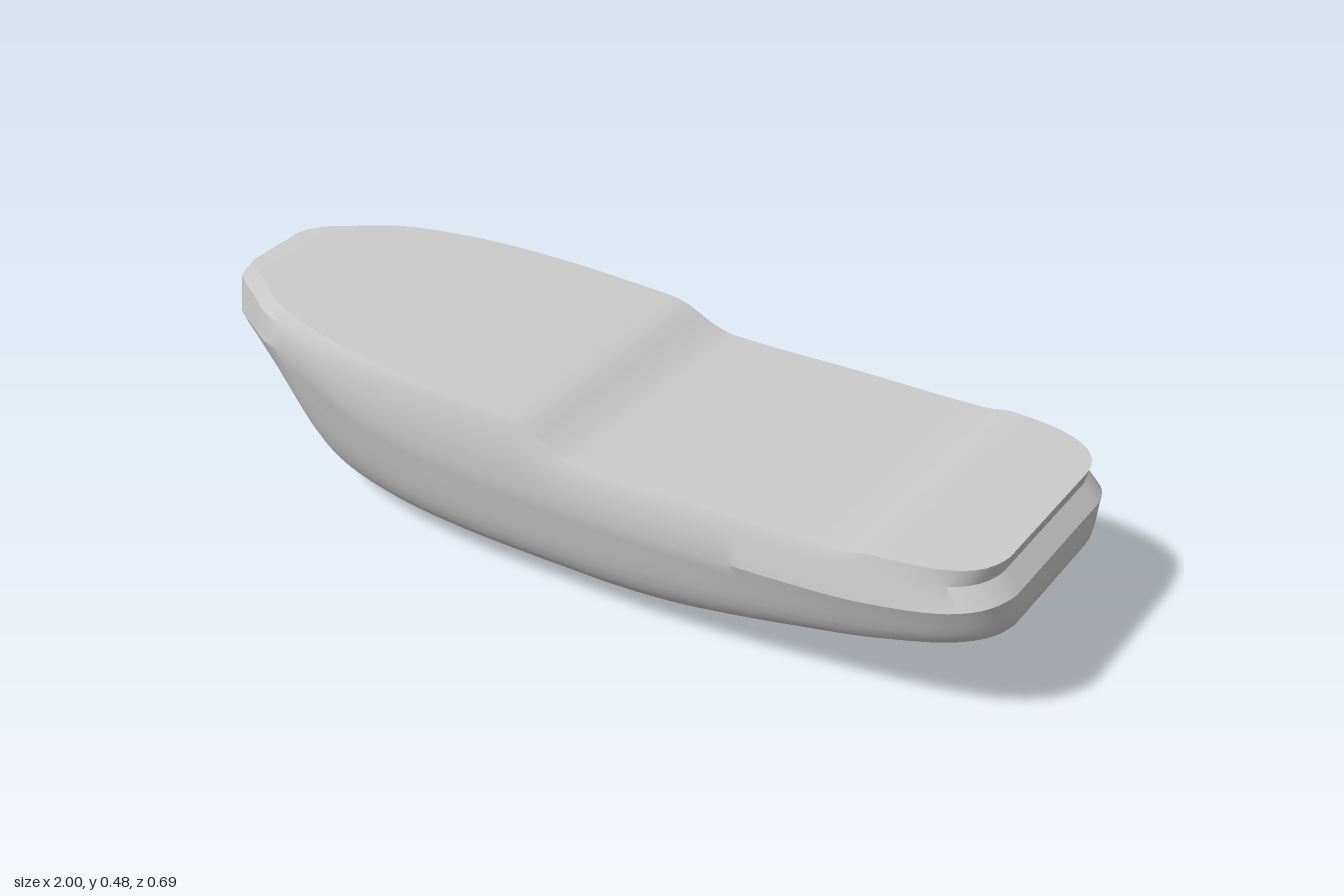
import * as THREE from 'three';
import { mergeVertices, toCreasedNormals } from 'three/addons/utils/BufferGeometryUtils.js';

// Smooth height along x through a few [x, y] pairs
function heightAt(pts, x) {
  const n = pts.length - 1;
  if (x <= pts[0][0]) return pts[0][1];
  if (x >= pts[n][0]) return pts[n][1];
  let i = 0;
  while (x > pts[i + 1][0]) i++;
  const slope = (k) => {
    const a = pts[Math.max(0, k - 1)], b = pts[Math.min(n, k + 1)];
    return (b[1] - a[1]) / (b[0] - a[0]);
  };
  const h = pts[i + 1][0] - pts[i][0], t = (x - pts[i][0]) / h, t2 = t * t, t3 = t2 * t;
  return pts[i][1] * (2 * t3 - 3 * t2 + 1) + slope(i) * h * (t3 - 2 * t2 + t)
    + pts[i + 1][1] * (3 * t2 - 2 * t3) + slope(i + 1) * h * (t3 - t2);
}

// Half plan outline from bow to stern, sampled evenly: x = length fraction, y = width fraction
function halfPlan(pairs, count) {
  const curve = new THREE.CatmullRomCurve3(pairs.map(([t, f]) => new THREE.Vector3(t * 2, f * 0.345, 0)));
  return curve.getSpacedPoints(count).map((p) => [
    THREE.MathUtils.clamp(p.x / 2, 0, 1), THREE.MathUtils.clamp(p.y / 0.345, 0, 1)]);
}

// Skin stacked outlines from bottom to top; the first `smooth` outlines are rounded into each other
function loft(name, plan, rings, smooth) {
  const columns = plan.map(([t, f]) => {
    const pts = rings.map((r) => {
      const x = r.x0 + (r.x1 - r.x0) * t;
      return new THREE.Vector3(x, heightAt(r.y, x), r.w * (t < 0.5 ? Math.pow(f, r.bow) : f));
    });
    if (smooth < 2) return pts;
    const curved = new THREE.CatmullRomCurve3(pts.slice(0, smooth)).getPoints((smooth - 1) * 5);
    return [...curved, ...pts.slice(smooth)];
  });
  const mirror = (p) => new THREE.Vector3(p.x, p.y, -p.z);
  const pos = [];
  const tri = (a, b, c) => [a, b, c].forEach((p) => pos.push(p.x, p.y, p.z));
  const quad = (a, b, c, d) => { tri(a, b, c); tri(a, c, d); };
  const top = columns[0].length - 1;
  for (let i = 0; i < columns.length - 1; i++) {
    const A = columns[i], B = columns[i + 1];
    for (let j = 0; j < top; j++) {
      quad(A[j], B[j], B[j + 1], A[j + 1]);
      quad(mirror(B[j]), mirror(A[j]), mirror(A[j + 1]), mirror(B[j + 1]));
    }
    quad(A[top], B[top], mirror(B[top]), mirror(A[top]));
    quad(mirror(A[0]), mirror(B[0]), B[0], A[0]);
  }
  let geo = new THREE.BufferGeometry();
  geo.setAttribute('position', new THREE.Float32BufferAttribute(pos, 3));
  geo = toCreasedNormals(mergeVertices(geo, 1e-5), 0.42);
  const mesh = new THREE.Mesh(geo, new THREE.MeshStandardMaterial({ color: 0xcccccc }));
  mesh.name = name;
  return mesh;
}

export function createModel() {
  const group = new THREE.Group();
  group.name = 'shipHull';

  // Hull: blunt raked bow at -x, rounded transom at +x
  const hullPlan = halfPlan([[0, 0], [0, 0.13], [0, 0.27], [0.05, 0.51], [0.1, 0.71], [0.2, 0.885],
    [0.3, 0.955], [0.45, 0.98], [0.65, 1], [0.8, 0.995], [0.875, 0.985], [0.95, 0.91],
    [0.985, 0.78], [1, 0.58], [1, 0.3], [1, 0]], 110);
  const hullRings = [
    // keel line
    { x0: -0.77, x1: 0.88, w: 0, bow: 1, y: [[-0.77, 0.018], [-0.68, 0.006], [-0.4, 0.001], [0.2, 0.003],
      [0.4, 0.035], [0.6, 0.105], [0.75, 0.155], [0.88, 0.19]] },
    // edge of the bottom
    { x0: -0.82, x1: 0.94, w: 0.23, bow: 1.3, y: [[-0.82, 0.045], [-0.6, 0.05], [0, 0.047], [0.25, 0.058],
      [0.5, 0.105], [0.75, 0.17], [0.94, 0.212]] },
    // bilge, running up into the transom's lower edge
    { x0: -0.87, x1: 0.99, w: 0.295, bow: 1.2, y: [[-0.87, 0.125], [-0.6, 0.115], [0, 0.102], [0.3, 0.118],
      [0.6, 0.16], [0.85, 0.208], [0.99, 0.235]] },
    // knuckle, the widest line
    { x0: -1, x1: 1, w: 0.345, bow: 1, y: [[-1, 0.34], [-0.85, 0.365], [-0.7, 0.38], [-0.58, 0.345],
      [-0.45, 0.32], [-0.2, 0.295], [0.2, 0.28], [0.6, 0.285], [0.9, 0.312], [1, 0.325]] },
    // shoulder below the deck, tucked in at the stern
    { x0: -0.992, x1: 0.965, w: 0.336, bow: 1, y: [[-0.992, 0.432], [-0.8, 0.44], [-0.5, 0.435], [-0.12, 0.41],
      [0, 0.372], [0.08, 0.358], [0.7, 0.36], [0.965, 0.362]] },
    // deck edge with the step amidships
    { x0: -0.96, x1: 0.975, w: 0.328, bow: 1.03, y: [[-0.96, 0.47], [-0.9, 0.477], [-0.5, 0.46], [-0.12, 0.44],
      [-0.06, 0.431], [0, 0.402], [0.06, 0.383], [0.4, 0.383], [0.68, 0.386], [0.74, 0.397], [0.975, 0.398]] },
  ];
  group.add(loft('hull', hullPlan, hullRings, 4));

  // Skeg under the stern, flaring where it meets the hull
  const skegPlan = halfPlan([[0, 0], [0.1, 0.35], [0.3, 0.8], [0.55, 1], [0.75, 0.95], [0.92, 0.7],
    [0.985, 0.4], [1, 0]], 40);
  group.add(loft('skeg', skegPlan, [
    { x0: 0.28, x1: 0.68, w: 0.018, bow: 1, y: [[0.28, 0.022], [0.45, 0.026], [0.68, 0.022]] },
    { x0: 0.26, x1: 0.706, w: 0.034, bow: 1, y: [[0.26, 0.04], [0.7, 0.042]] },
    { x0: 0.24, x1: 0.732, w: 0.05, bow: 1, y: [[0.24, 0.1], [0.73, 0.1]] },
    { x0: 0.24, x1: 0.76, w: 0.05, bow: 1, y: [[0.24, 0.13], [0.76, 0.165]] },
  ], 4));

  return group;
}
